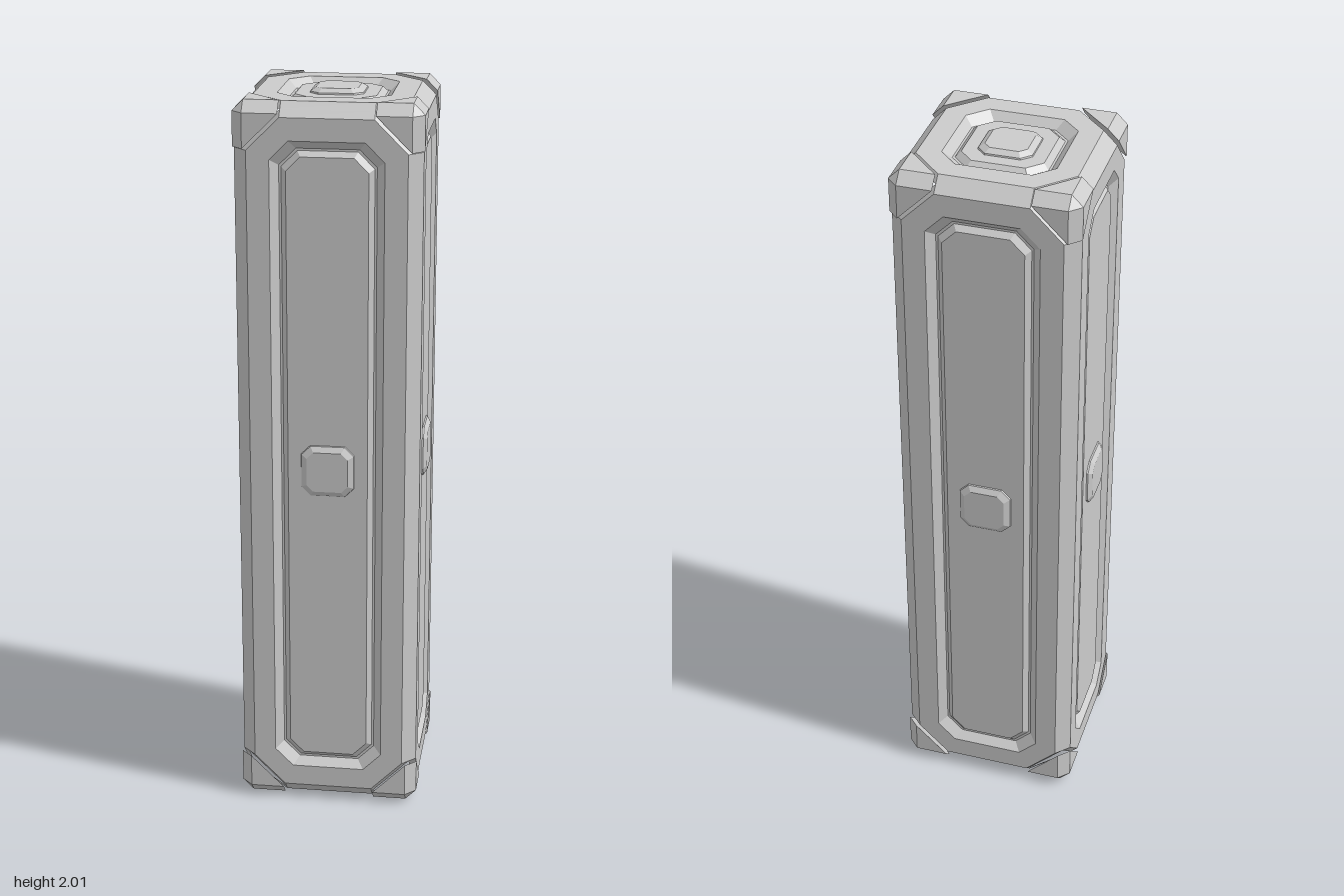
import * as THREE from 'three';
import { ConvexGeometry } from 'three/addons/geometries/ConvexGeometry.js';

const HALF = 0.25;          // half width of the pillar
const STRETCH = 0.75;       // extra half height of the long faces
const material = new THREE.MeshStandardMaterial({ color: 0xcccccc, flatShading: true });

// Octagon ring [half width, corner cut, height], lengthened along y by stretch
function octagon([w, cut, z], stretch) {
  const a = w - cut, h = w + stretch, b = h - cut;
  return [[a, -h], [w, -b], [w, b], [a, h], [-a, h], [-w, b], [-w, -b], [-a, -h]]
    .map(([x, y]) => [x, y, z]);
}

// Skin a stack of octagon rings from the outside in, then close the centre
function ringStack(rings, stretch) {
  const loops = rings.map(r => octagon(r, stretch));
  const pos = [];
  for (let i = 0; i + 1 < loops.length; i++) {
    for (let j = 0; j < 8; j++) {
      const k = (j + 1) % 8, o = loops[i], n = loops[i + 1];
      pos.push(...o[j], ...o[k], ...n[k], ...o[j], ...n[k], ...n[j]);
    }
  }
  const last = loops[loops.length - 1];
  for (let j = 1; j < 7; j++) pos.push(...last[0], ...last[j], ...last[j + 1]);
  const geo = new THREE.BufferGeometry();
  geo.setAttribute('position', new THREE.Float32BufferAttribute(pos, 3));
  geo.computeVertexNormals();
  return geo;
}

// Edge chamfer, rim, groove and raised inner panel
const PANEL = [
  [0.2285, 0.1055, -0.0215],
  [0.21, 0.087, -0.003],
  [0.15, 0.05, -0.003],
  [0.128, 0.045, -0.025],
  [0.122, 0.043, -0.025],
  [0.108, 0.038, -0.011],
];

// Small bevelled stud in the middle of each panel
const STUD = [
  [0.073, 0.025, -0.014],
  [0.071, 0.025, -0.007],
  [0.056, 0.018, 0.003],
];

function createFace(name, stretch) {
  const face = new THREE.Group();
  face.name = name;
  const panel = new THREE.Mesh(ringStack(PANEL, stretch), material);
  panel.name = 'panel';
  const stud = new THREE.Mesh(ringStack(STUD, 0), material);
  stud.name = 'stud';
  face.add(panel, stud);
  return face;
}

// Chamfered corner guard, cut off diagonally on the inside
function cornerGeometry(sx, sy, sz) {
  const inner = 0.127, edge = 0.22;
  const pts = [];
  for (const [a, b, c] of [
    [inner, edge, HALF], [edge, inner, HALF], [inner, HALF, edge],
    [edge, HALF, inner], [HALF, inner, edge], [HALF, edge, inner],
    [edge, edge, HALF], [edge, HALF, edge], [HALF, edge, edge],
  ]) pts.push(new THREE.Vector3(sx * a, sy * (b + STRETCH), sz * c));
  return new ConvexGeometry(pts);
}

export function createModel() {
  const model = new THREE.Group();
  model.name = 'pillar';

  // Four long sides
  ['front', 'left', 'back', 'right'].forEach((side, i) => {
    const angle = i * Math.PI / 2;
    const face = createFace(side + 'Side', STRETCH);
    face.rotation.y = angle;
    face.position.set(Math.sin(angle) * HALF, 1, Math.cos(angle) * HALF);
    model.add(face);
  });

  // Square ends
  const top = createFace('topEnd', 0);
  top.rotation.x = -Math.PI / 2;
  top.position.y = 2;
  const bottom = createFace('bottomEnd', 0);
  bottom.rotation.x = Math.PI / 2;
  model.add(top, bottom);

  // Eight corner guards
  for (const sx of [-1, 1]) for (const sy of [-1, 1]) for (const sz of [-1, 1]) {
    const guard = new THREE.Mesh(cornerGeometry(sx, sy, sz), material);
    guard.name = 'cornerGuard';
    guard.position.y = 1;
    model.add(guard);
  }
  return model;
}
